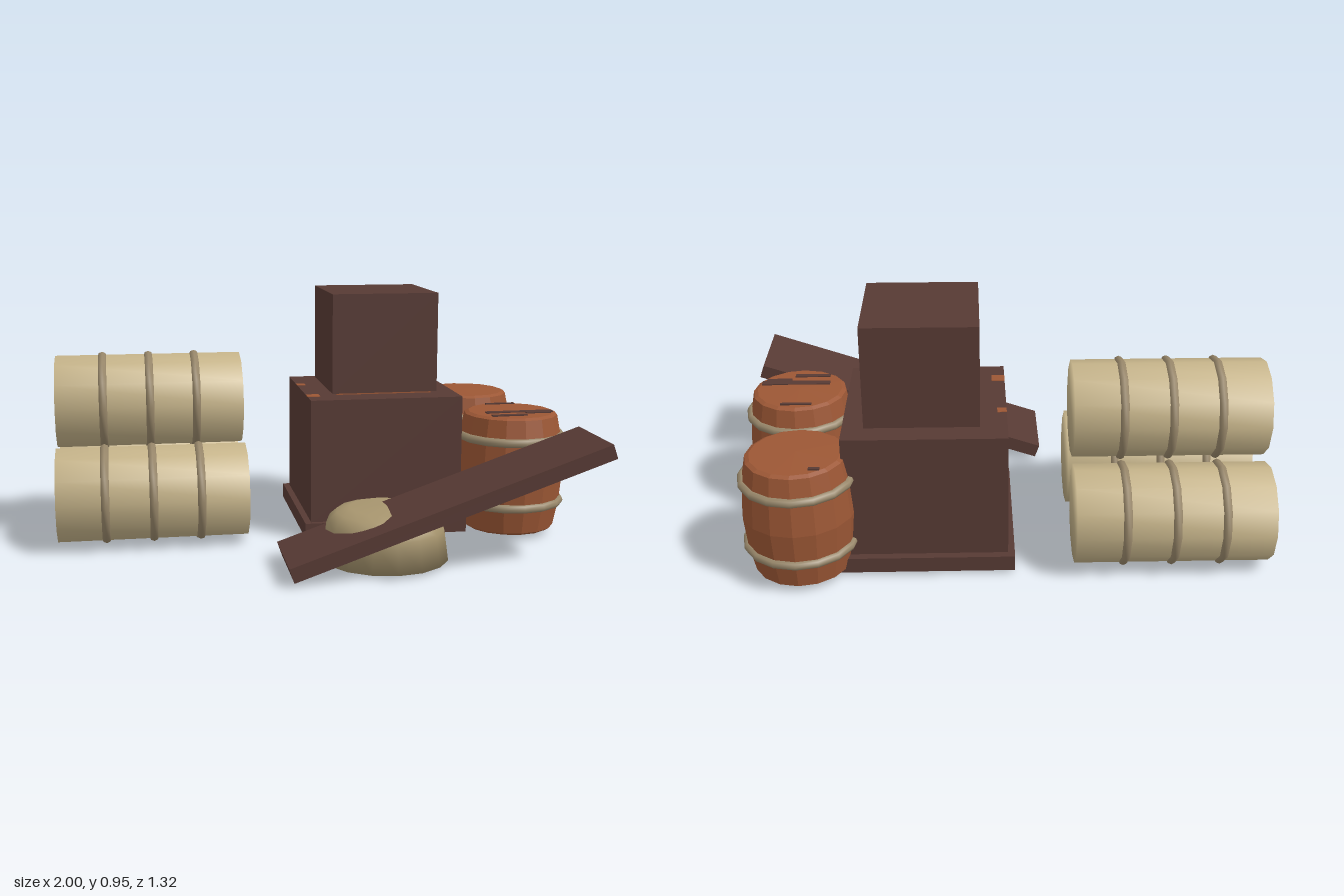
import * as THREE from 'three';
import { mergeVertices } from 'three/addons/utils/BufferGeometryUtils.js';

export function createModel() {
  const root = new THREE.Group();
  root.name = 'cargoPile';

  const mat = (name, color, flat = false) => {
    const m = new THREE.MeshStandardMaterial({ color, flatShading: flat });
    m.name = name;
    return m;
  };
  const darkWood = mat('darkWood', 0x573a34, true);
  const barrelWood = mat('barrelWood', 0x9c5735, true);
  const hoopMetal = mat('hoopTan', 0x98876a);
  const paleWood = mat('paleWood', 0xc6b48a);
  const sackCloth = mat('sackCloth', 0xa8966f);

  const add = (parent, name, geo, material, x = 0, y = 0, z = 0) => {
    const m = new THREE.Mesh(geo, material);
    m.name = name;
    m.position.set(x, y, z);
    parent.add(m);
    return m;
  };
  // Box given by its minimum and maximum corners
  const box = (parent, name, a, b, material) => add(parent, name,
    new THREE.BoxGeometry(b[0] - a[0], b[1] - a[1], b[2] - a[2]), material,
    (a[0] + b[0]) / 2, (a[1] + b[1]) / 2, (a[2] + b[2]) / 2);
  const lathe = (pts, sides) =>
    new THREE.LatheGeometry(pts.map(p => new THREE.Vector2(p[0], p[1])), sides);

  // Stacked crates
  const crates = new THREE.Group();
  crates.name = 'crates';
  root.add(crates);
  box(crates, 'crateBase', [-0.055, 0.015, -0.52], [0.59, 0.075, 0.13], darkWood);
  box(crates, 'largeCrate', [-0.03, 0.07, -0.49], [0.57, 0.557, 0.11], darkWood);
  box(crates, 'crateGap', [0.09, 0.555, -0.395], [0.47, 0.567, -0.005], barrelWood);
  box(crates, 'smallCrate', [0.07, 0.565, -0.415], [0.49, 0.955, 0.015], darkWood);
  for (const [z, w] of [[-0.27, 0.035], [0, 0.05]])
    box(crates, 'crateChip', [-0.03, 0.555, z - w / 2], [-0.03 + w, 0.559, z + w / 2], barrelWood);

  // Standing barrels: faceted staves and two round hoops
  const barrelGeo = lathe([[0, 0.022], [0.165, 0.022], [0.18, 0.032], [0.2, 0.135],
    [0.211, 0.26], [0.2, 0.395], [0.183, 0.48], [0.167, 0.488], [0, 0.492]], 16);
  const standHoop = new THREE.TorusGeometry(0.2, 0.017, 8, 16).rotateX(Math.PI / 2);
  const barrel = (name, x, z) => {
    const g = new THREE.Group();
    g.name = name;
    g.position.set(x, 0, z);
    root.add(g);
    add(g, 'staves', barrelGeo, barrelWood);
    for (const y of [0.135, 0.395]) add(g, 'hoop', standHoop, hoopMetal, 0, y, 0);
    return g;
  };
  const frontBarrel = barrel('frontBarrel', 0.78, 0.07);
  const backBarrel = barrel('backBarrel', 0.735, -0.445);

  // Worn dark streaks on the lids
  const streak = (g, x, z, w, d) =>
    box(g, 'lidStreak', [x - w / 2, 0.486, z - d / 2], [x + w / 2, 0.4935, z + d / 2], darkWood);
  streak(frontBarrel, 0.02, 0.045, 0.27, 0.03);
  streak(frontBarrel, 0.09, 0.07, 0.1, 0.02);
  streak(frontBarrel, -0.04, 0.11, 0.14, 0.022);
  streak(frontBarrel, 0, -0.14, 0.12, 0.012);
  streak(backBarrel, -0.08, -0.125, 0.04, 0.014);

  // Pyramid of three lying casks, smooth over sides and ends
  let cask = new THREE.CylinderGeometry(0.184, 0.184, 0.725, 12);
  cask.rotateZ(Math.PI / 2);
  cask.deleteAttribute('uv');
  cask.deleteAttribute('normal');
  cask = mergeVertices(cask);
  cask.computeVertexNormals();
  const caskHoop = new THREE.TorusGeometry(0.178, 0.018, 8, 12).rotateY(Math.PI / 2);
  for (const [name, y, z] of [['lowerFrontCask', 0.198, 0.01],
    ['lowerBackCask', 0.198, -0.42], ['upperCask', 0.526, -0.2]]) {
    const g = new THREE.Group();
    g.name = name;
    g.position.set(-0.638, y, z);
    root.add(g);
    add(g, 'caskBody', cask, paleWood);
    for (const x of [-0.18, 0, 0.18]) add(g, 'caskHoop', caskHoop, hoopMetal, x, 0, 0);
  }

  // Slumped sack under the leaning plank
  add(root, 'sack', lathe([[0, 0.015], [0.238, 0.015], [0.222, 0.13], [0.208, 0.165],
    [0.18, 0.19], [0.13, 0.204], [0, 0.208]], 16), sackCloth, 0.2, 0, 0.39);
  const plank = add(root, 'plank', new THREE.BoxGeometry(1.225, 0.055, 0.33), darkWood, 0.395, 0.243, 0.492);
  plank.rotation.z = 0.332;

  return root;
}
